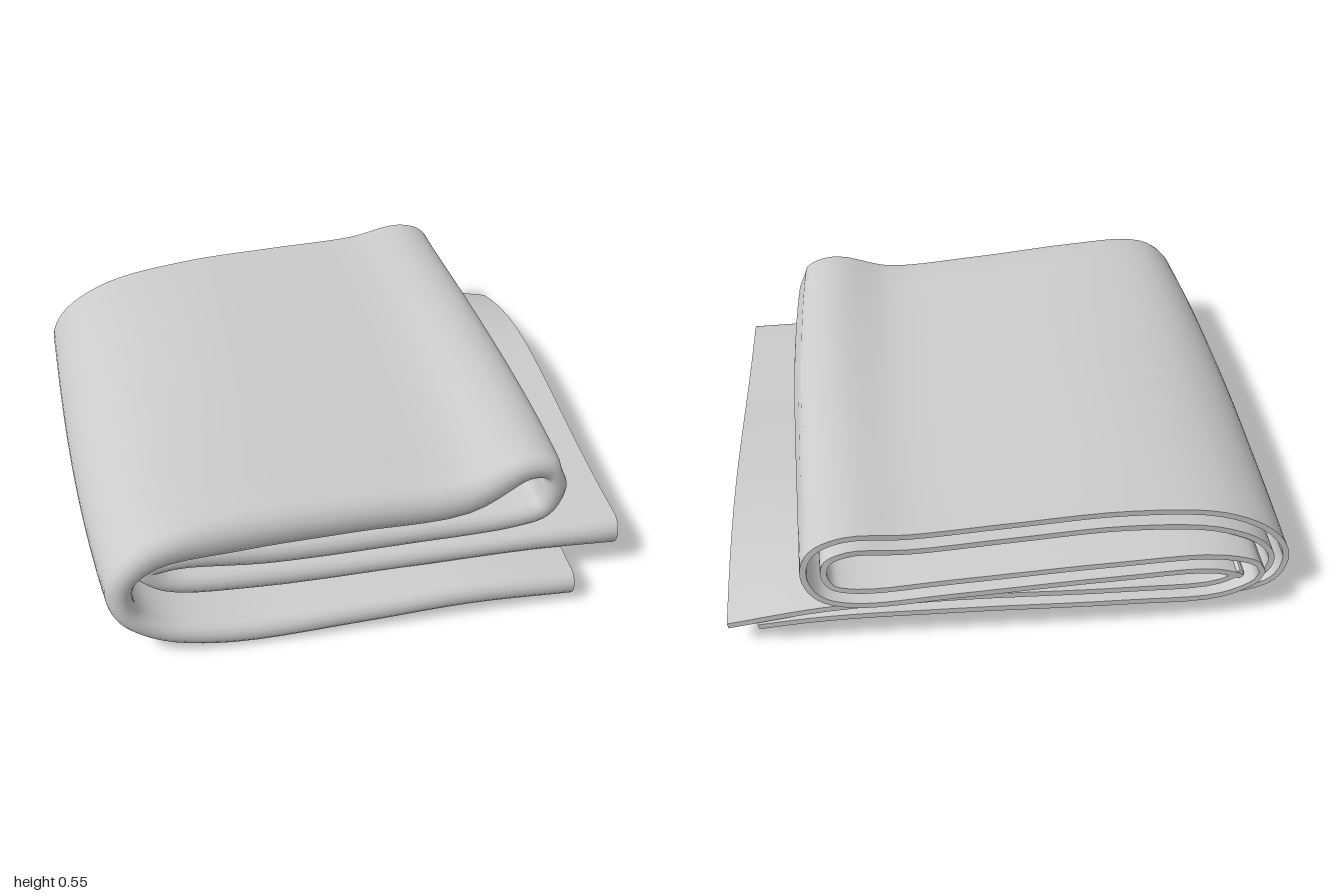
import * as THREE from 'three';
import { toCreasedNormals } from 'three/addons/utils/BufferGeometryUtils.js';

// Fold path along the front edge [x, y, z], from the lower end to the upper free end
const FRONT = [
  [0.78, 0.07, 0.96], [0.4, 0.085, 0.96], [0, 0.065, 0.96], [-0.45, 0.053, 0.96],
  [-0.68, 0.1, 0.957], [-0.79, 0.18, 0.953], [-0.82, 0.27, 0.95], [-0.8, 0.36, 0.95],
  [-0.7, 0.435, 0.94], [-0.4, 0.44, 0.9], [0, 0.42, 0.86], [0.4, 0.412, 0.835],
  [0.62, 0.498, 0.805], [0.71, 0.475, 0.795], [0.735, 0.39, 0.795], [0.7, 0.3, 0.795],
  [0.6, 0.275, 0.8], [0.2, 0.27, 0.81], [-0.3, 0.285, 0.83], [-0.63, 0.32, 0.84],
  [-0.73, 0.29, 0.84], [-0.66, 0.22, 0.84], [-0.35, 0.18, 0.835], [0.2, 0.17, 0.825],
  [0.65, 0.165, 0.815], [0.99, 0.15, 0.81],
];

// The same path along the back edge
const BACK = [
  [0.78, 0.035, -0.82], [0.4, 0.055, -0.82], [0, 0.06, -0.82], [-0.5, 0.05, -0.82],
  [-0.8, 0.055, -0.82], [-0.935, 0.1, -0.82], [-0.963, 0.19, -0.82], [-0.905, 0.29, -0.825],
  [-0.73, 0.385, -0.835], [-0.4, 0.435, -0.86], [0, 0.44, -0.895], [0.35, 0.44, -0.925],
  [0.56, 0.465, -0.95], [0.65, 0.43, -0.96], [0.675, 0.35, -0.96], [0.64, 0.27, -0.96],
  [0.54, 0.235, -0.96], [0.2, 0.25, -0.955], [-0.35, 0.28, -0.945], [-0.72, 0.27, -0.925],
  [-0.84, 0.21, -0.915], [-0.74, 0.15, -0.92], [-0.4, 0.15, -0.935], [0.2, 0.155, -0.935],
  [0.65, 0.135, -0.93], [0.99, 0.08, -0.92],
];

// Along the same path: half thickness at the front, at the back, and lift between them
const PROFILE = [
  [0.05, 0.025, 0.045], [0.05, 0.03, 0.04], [0.05, 0.035, 0.032], [0.05, 0.038, 0.03],
  [0.045, 0.038, 0.025], [0.045, 0.037, 0.01], [0.045, 0.037, 0], [0.05, 0.04, 0.01],
  [0.065, 0.045, 0.02], [0.09, 0.045, 0.03], [0.088, 0.045, 0.02], [0.08, 0.045, 0.01],
  [0.055, 0.045, 0], [0.045, 0.045, 0], [0.045, 0.045, 0], [0.045, 0.045, 0.045],
  [0.045, 0.045, 0.06], [0.05, 0.045, 0.05], [0.053, 0.045, 0.035], [0.05, 0.045, 0.02],
  [0.045, 0.05, 0.015], [0.045, 0.045, 0.02], [0.05, 0.042, 0.03], [0.045, 0.042, 0.045],
  [0.045, 0.035, 0.07], [0.062, 0.025, 0.105],
];

const STEPS = 125;   // along the fold path
const STRAIGHT = 14; // along each sheet, back to front
const ARC = 8;       // round the front fold
const SHEET = 0.022; // thickness of one sheet

const toCurve = (pts) => new THREE.CatmullRomCurve3(pts.map((p) => new THREE.Vector3(...p)));
const frontCurve = toCurve(FRONT);
const backCurve = toCurve(BACK);
const profileCurve = toCurve(PROFILE);
const { lerp, smoothstep } = THREE.MathUtils;

// Middle of the doubled cloth: t runs along the path, w from front (0) to back (1)
function middle(t, w) {
  const p = frontCurve.getPoint(t).lerp(backCurve.getPoint(t), w);
  const along = Math.max(0, w);
  // Sheets rise behind the middle; the outer bends bow sideways
  p.y += profileCurve.getPoint(t).z * Math.sin(Math.PI * along ** 1.8);
  const bow = smoothstep(t, 0, 0.2) * (1 - smoothstep(t, 0.62, 0.8));
  p.x *= 1 + 0.035 * bow * Math.sin(Math.PI * along ** 0.75);
  return p;
}

// Point on the cloth surface, offset n across its thickness
function surface(t, w, n) {
  // The lower sheet of the upper free end falls short towards the back
  const s = n < 0 ? t - 0.012 * w * smoothstep(t, 0.9, 1) : t;
  const p = middle(s, w);
  const a = middle(Math.max(0, s - 0.004), w);
  const b = middle(Math.min(1, s + 0.004), w);
  const tx = b.x - a.x, ty = b.y - a.y, len = Math.hypot(tx, ty);
  p.x -= (ty / len) * n;
  p.y += (tx / len) * n;
  return p;
}

// U-shaped section [w, n]: outer side back-front-back, then the inner side in reverse
function section(t) {
  const depth = frontCurve.getPoint(t).z - backCurve.getPoint(t).z;
  const { x: halfFront, y: halfBack } = profileCurve.getPoint(t);
  const w0 = halfFront / depth;
  const side = (inset) => {
    const pts = [];
    for (let k = 0; k <= STRAIGHT; k++) {
      const w = lerp(1, w0, k / STRAIGHT);
      pts.push([w, lerp(halfFront, halfBack, w) - inset]);
    }
    const r = pts[STRAIGHT][1];
    for (let k = 1; k < ARC; k++) {
      const angle = (Math.PI * k) / ARC;
      pts.push([w0 - (r * Math.sin(angle)) / depth, r * Math.cos(angle)]);
    }
    for (let k = STRAIGHT; k >= 0; k--) pts.push([pts[k][0], -pts[k][1]]);
    return pts;
  };
  return [...side(0), ...side(SHEET).reverse()];
}

function clothGeometry() {
  const positions = [], index = [];
  let count = 0;
  for (let i = 0; i <= STEPS; i++) {
    const t = i / STEPS;
    const outline = section(t);
    count = outline.length;
    for (const [w, n] of outline) positions.push(...surface(t, w, n).toArray());
  }
  // Skin between neighbouring sections
  for (let i = 0; i < STEPS; i++) {
    for (let j = 0; j < count; j++) {
      const a = i * count + j, b = i * count + ((j + 1) % count);
      index.push(a, b, a + count, b, b + count, a + count);
    }
  }
  // Thin U-shaped caps at the two free ends
  const last = STEPS * count;
  for (let k = 0; k < count / 2 - 1; k++) {
    const a = k, b = k + 1, c = count - 1 - k, d = count - 2 - k;
    index.push(a, c, b, b, c, d);
    index.push(last + a, last + b, last + c, last + b, last + d, last + c);
  }
  const geometry = new THREE.BufferGeometry();
  geometry.setAttribute('position', new THREE.Float32BufferAttribute(positions, 3));
  geometry.setIndex(index);
  // Rest the cloth on the ground
  geometry.computeBoundingBox();
  geometry.translate(0, -geometry.boundingBox.min.y, 0);
  return toCreasedNormals(geometry, 1.0);
}

export function createModel() {
  const group = new THREE.Group();
  group.name = 'foldedTowel';
  const material = new THREE.MeshStandardMaterial({ color: 0xcccccc });
  const cloth = new THREE.Mesh(clothGeometry(), material);
  cloth.name = 'foldedCloth';
  group.add(cloth);
  return group;
}
